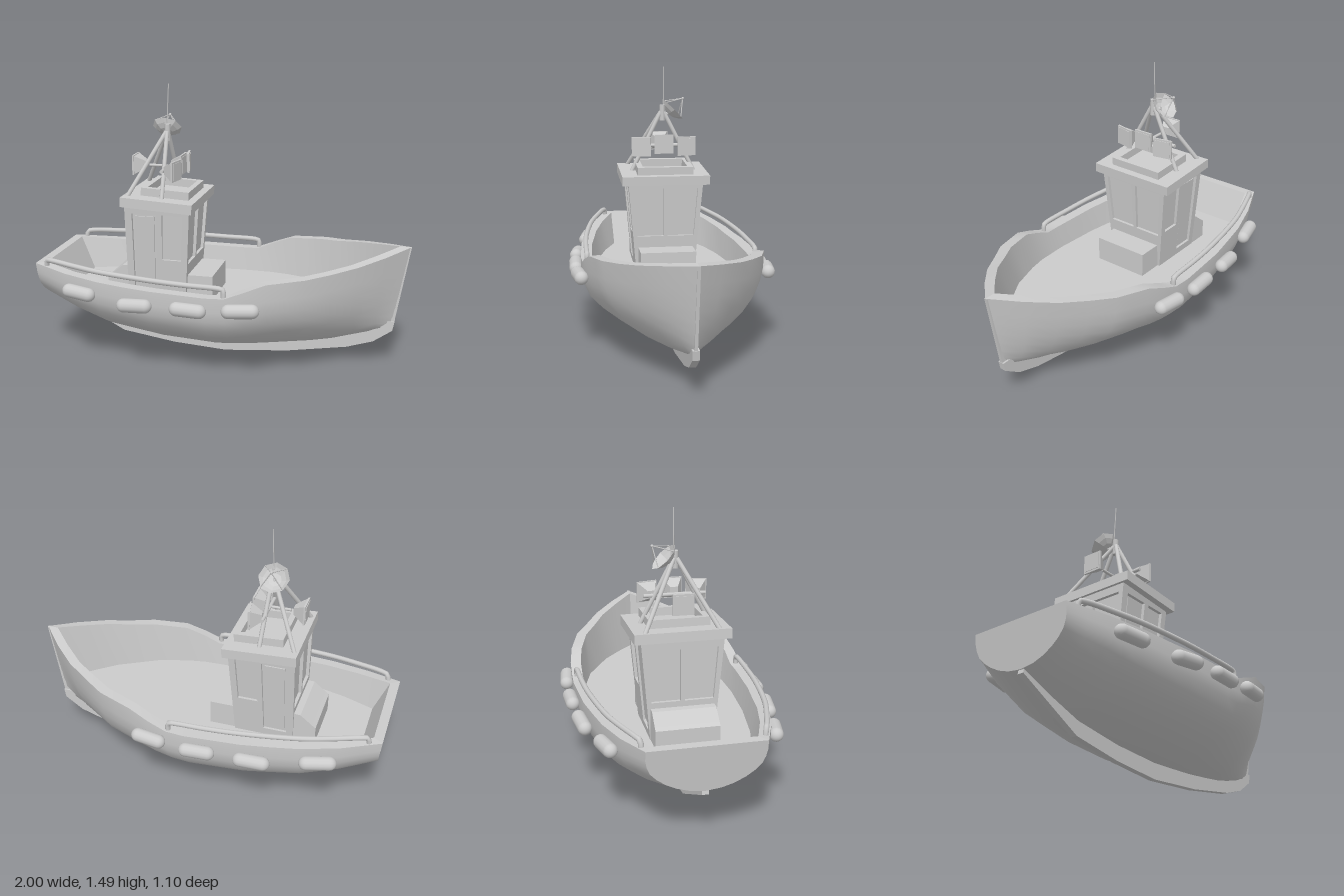
import * as THREE from 'three';

const V = (x, y, z) => new THREE.Vector3(x, y, z);
const mat = new THREE.MeshStandardMaterial({ color: 0xcccccc, side: THREE.DoubleSide });
const flat = new THREE.MeshStandardMaterial({ color: 0xcccccc, side: THREE.DoubleSide, flatShading: true });

// Linear lookup in a table of [key, value] pairs
function look(table, x) {
  let i = 1;
  while (i < table.length - 1 && x > table[i][0]) i++;
  const [a, b] = [table[i - 1], table[i]];
  return THREE.MathUtils.lerp(a[1], b[1], THREE.MathUtils.clamp((x - a[0]) / (b[0] - a[0]), 0, 1));
}

// Surface through rows of points
function loft(rows) {
  const n = rows[0].length, index = [];
  for (let i = 0; i < rows.length - 1; i++)
    for (let j = 0; j < n - 1; j++) {
      const a = i * n + j, b = a + n;
      index.push(a, b, a + 1, b, b + 1, a + 1);
    }
  const g = new THREE.BufferGeometry().setFromPoints(rows.flat());
  g.setIndex(index);
  g.computeVertexNormals();
  return g;
}

// Hull lines along the length, -1 stern to 1 bow
const stations = [-1, -0.9, -0.8, -0.7, -0.6, -0.45, -0.3, -0.15, 0, 0.1, 0.2, 0.31, 0.4, 0.5, 0.62, 0.75, 0.88, 1];
const sheer = [[-1, 0.525], [-0.8, 0.505], [-0.5, 0.485], [0, 0.473], [0.1, 0.475], [0.2, 0.515], [0.31, 0.558], [0.6, 0.59], [0.8, 0.625], [1, 0.67]];
const keelY = [[-1, 0.28], [-0.8, 0.205], [-0.6, 0.14], [-0.3, 0.1], [0, 0.085], [0.3, 0.1], [0.6, 0.13], [0.8, 0.17], [1, 0.22]];
const beam = [[-1, 0.29], [-0.8, 0.37], [-0.6, 0.425], [-0.3, 0.472], [0, 0.487], [0.25, 0.475], [0.5, 0.4], [0.75, 0.245], [0.88, 0.13], [1, 0]];
const inside = [[-1, 0.255], [-0.8, 0.325], [-0.6, 0.372], [-0.3, 0.412], [0, 0.428], [0.25, 0.42], [0.5, 0.35], [0.75, 0.215], [0.88, 0.11], [1, 0]];
const fullness = [[0, 0], [0.04, 0.27], [0.12, 0.48], [0.23, 0.66], [0.36, 0.81], [0.5, 0.92], [0.65, 0.975], [0.8, 1], [1, 1]];
const DECK = 0.34;

function hullPoint(u, t, side) {
  const rake = u > 0 ? 0.08 : 0.03;
  const f = THREE.MathUtils.lerp(look(fullness, t), Math.pow(t, 0.7), 0.6 * Math.max(0, u) ** 2);
  const y = THREE.MathUtils.lerp(look(keelY, u), look(sheer, u), t);
  return V(u * (1 - rake * (1 - t) * u * u), y, side * look(beam, u) * f);
}
const rimPoint = (u, side) => V(u * (u > 0 ? 0.94 : 0.95), look(sheer, u), side * look(inside, u));
const deckPoint = (u, side) => V(u * (u > 0 ? 0.89 : 0.87), DECK, side * look(inside, u) * 0.955);

export function createModel() {
  const model = new THREE.Group();
  const add = (name, geo, parent = model, m = mat) => {
    const mesh = new THREE.Mesh(geo, m);
    mesh.name = name;
    parent.add(mesh);
    return mesh;
  };
  const box = (name, x0, x1, y0, y1, w, parent, m) =>
    add(name, new THREE.BoxGeometry(x1 - x0, y1 - y0, w).translate((x0 + x1) / 2, (y0 + y1) / 2, 0), parent, m);
  const rod = (name, a, b, r, parent, sides = 8) => {
    const mesh = add(name, new THREE.CylinderGeometry(r, r, a.distanceTo(b), sides), parent);
    mesh.position.copy(a).lerp(b, 0.5);
    mesh.quaternion.setFromUnitVectors(V(0, 1, 0), b.clone().sub(a).normalize());
    return mesh;
  };
  const extrude = (points, depth, holes = []) => {
    const path = (p) => p.map(([x, y]) => new THREE.Vector2(x, y));
    const s = new THREE.Shape(path(points));
    s.holes = holes.map((h) => new THREE.Path(path(h)));
    return new THREE.ExtrudeGeometry(s, { depth, bevelEnabled: false }).translate(0, 0, -depth / 2);
  };
  const rect = (x0, x1, y0, y1) => [[x0, y0], [x1, y0], [x1, y1], [x0, y1]];

  // Hull: outer skin, rim, bulwarks, deck and transom
  const ts = fullness.map((p) => p[0]);
  const hull = new THREE.Group();
  hull.name = 'hull';
  model.add(hull);
  add('hullSkin', loft(stations.map((u) => [
    ...ts.slice(1).reverse().map((t) => hullPoint(u, t, -1)), ...ts.map((t) => hullPoint(u, t, 1))])), hull);
  const strip = (name, f) => add(name, loft(stations.map(f)), hull);
  strip('leftRim', (u) => [hullPoint(u, 1, 1), rimPoint(u, 1)]);
  strip('rightRim', (u) => [rimPoint(u, -1), hullPoint(u, 1, -1)]);
  strip('leftBulwark', (u) => [rimPoint(u, 1), deckPoint(u, 1)]);
  strip('rightBulwark', (u) => [deckPoint(u, -1), rimPoint(u, -1)]);
  strip('deck', (u) => [deckPoint(u, 1), deckPoint(u, -1)]);
  add('transom', loft([-1, 1].map((s) => ts.map((t) => hullPoint(-1, t, s)))), hull);
  const sternTop = [1, -1].map((s) => rimPoint(-1, s));
  add('sternRim', loft([[1, -1].map((s) => hullPoint(-1, 1, s)), sternTop]), hull);
  add('sternBulwark', loft([sternTop, [1, -1].map((s) => deckPoint(-1, s))]), hull);

  // Keel fin and stem
  add('keel', extrude([[-0.97, 0.26], [-0.6, 0.065], [-0.3, 0.02], [0, 0], [0.35, 0.03], [0.68, 0.085], [0.82, 0.13],
    [0.92, 0.2], [0.93, 0.25], [0.88, 0.25], [0.6, 0.16], [0, 0.11], [-0.6, 0.165], [-0.965, 0.29]], 0.035));
  add('stem', extrude([[0.92, 0.2], [1, 0.67], [0.975, 0.66], [0.89, 0.22]], 0.016));

  // Hand rails and fenders on both sides
  for (const s of [1, -1]) {
    const pts = [[-0.935, 0.5, 0.295], [-0.925, 0.548, 0.3], [-0.89, 0.553, 0.315], [-0.75, 0.547, 0.36], [-0.6, 0.54, 0.4],
      [-0.3, 0.53, 0.443], [-0.1, 0.524, 0.455], [0.06, 0.521, 0.458], [0.09, 0.515, 0.458], [0.095, 0.46, 0.458]];
    const curve = new THREE.CatmullRomCurve3(pts.map(([x, y, z]) => V(x, y, z * s)), false, 'centripetal');
    add('handRail', new THREE.TubeGeometry(curve, 60, 0.014, 8));
    for (const [x, y, z, yaw, roll] of [[-0.7, 0.425, 0.425, 0.22, -0.06], [-0.37, 0.405, 0.495, 0.13, 0.08],
      [-0.08, 0.412, 0.513, 0.02, -0.03], [0.19, 0.425, 0.503, -0.13, 0.04]]) {
      const fender = add('fender', new THREE.CapsuleGeometry(0.037, 0.12, 6, 14).rotateZ(Math.PI / 2));
      fender.position.set(x, y, z * s);
      fender.rotation.set(0, -yaw * s, roll);
    }
  }

  // Wheelhouse: walls with openings around a core, narrowing downwards
  const house = new THREE.Group();
  house.name = 'wheelhouse';
  model.add(house);
  const taper = (g) => {
    const p = g.attributes.position;
    for (let i = 0; i < p.count; i++) {
      const k = (p.getY(i) - DECK) / 0.52;
      p.setX(i, -0.51 + (p.getX(i) + 0.51) * (0.9 + 0.1 * k));
      p.setZ(i, p.getZ(i) * (0.79 + 0.21 * k));
    }
    g.computeVertexNormals();
    return g;
  };
  const [hx0, hx1, hw, top] = [-0.51, -0.15, 0.212, 0.86];
  taper(box('cabinCore', hx0 + 0.018, hx1 - 0.018, DECK, top, 2 * hw - 0.036, house).geometry);
  const sideHoles = [rect(-0.47, -0.33, 0.38, 0.815), rect(-0.3, -0.185, 0.56, 0.815)];
  for (const s of [1, -1])
    add('sideWall', taper(extrude(rect(hx0, hx1, DECK, top), 0.02, sideHoles).translate(0, 0, s * (hw - 0.01))), house);
  for (const [x, sill] of [[hx1 - 0.01, 0.54], [hx0 + 0.01, 0.54]]) {
    const holes = [rect(-0.185, -0.012, sill, 0.815), rect(0.012, 0.185, sill, 0.815)];
    add('endWall', taper(extrude(rect(-hw, hw, DECK, top), 0.02, holes).rotateY(Math.PI / 2).translate(x, 0, 0)), house);
  }
  for (const s of [1, -1]) { // door leaves
    const leaf = box('door', -0.455, -0.345, 0.4, 0.8, 0.012, house);
    taper(leaf.geometry.translate(0, 0, s * (hw - 0.016)));
  }

  // Roof slab with a raised, open frame
  const roof = new THREE.Group();
  roof.name = 'roof';
  roof.position.set(-0.325, 0.875, 0);
  roof.rotation.z = -0.055;
  house.add(roof);
  box('roofSlab', -0.197, 0.197, -0.028, 0.024, 0.492, roof);
  add('roofFrame', extrude(rect(-0.11, 0.155, -0.157, 0.157), 0.045, [rect(-0.08, 0.125, -0.125, 0.125)])
    .rotateX(-Math.PI / 2).translate(0, 0.045, 0), roof);

  // Deck boxes before and behind the wheelhouse
  box('foreLocker', -0.2, -0.04, DECK, 0.475, 0.31);
  add('aftLocker', extrude([[-0.63, DECK], [-0.5, DECK], [-0.5, 0.51], [-0.545, 0.507], [-0.61, 0.455], [-0.63, 0.44]], 0.33));

  // Mast: four legs, post, light bar and whip aerial
  const mast = new THREE.Group();
  mast.name = 'mast';
  model.add(mast);
  for (const s of [1, -1]) {
    rod('aftLeg', V(-0.5, 0.9, 0.19 * s), V(-0.33, 1.23, 0.008 * s), 0.012, mast);
    rod('foreLeg', V(-0.31, 0.89, 0.18 * s), V(-0.325, 1.23, 0.008 * s), 0.012, mast);
  }
  rod('post', V(-0.325, 1.18, 0), V(-0.325, 1.27, 0), 0.016, mast);
  rod('lightBar', V(-0.315, 1.04, -0.16), V(-0.315, 1.04, 0.16), 0.01, mast);
  rod('aftLightArm', V(-0.43, 1.04, 0), V(-0.315, 1.04, 0), 0.008, mast);
  rod('aerial', V(-0.33, 1.26, -0.008), V(-0.318, 1.485, -0.008), 0.003, mast, 5);

  // Flared square flood lights, three forward and one aft
  for (const [x, y, z, yaw] of [[-0.273, 1.055, 0, 0], [-0.275, 1.042, 0.122, -0.2], [-0.275, 1.042, -0.122, 0.2], [-0.475, 1.045, 0, Math.PI]]) {
    const light = new THREE.Group();
    light.name = 'floodLight';
    light.position.set(x, y, z);
    light.rotation.y = yaw;
    mast.add(light);
    const shade = (r0, r1, h) => new THREE.CylinderGeometry(r0, r1, h, 4).rotateY(Math.PI / 4).rotateZ(-Math.PI / 2);
    add('lightShade', shade(0.072, 0.028, 0.06), light, flat);
    add('lightLip', shade(0.076, 0.076, 0.01).translate(0.033, 0, 0), light, flat);
    add('lightGlass', shade(0.062, 0.062, 0.004).translate(0.039, 0, 0), light, flat);
  }

  // Dish aerial facing up and to the right side, with feed struts
  const dish = new THREE.Group();
  dish.name = 'dish';
  dish.position.set(-0.345, 1.232, -0.05);
  dish.quaternion.setFromUnitVectors(V(0, 1, 0), V(0, 0.7, -0.7).normalize());
  mast.add(dish);
  const bowl = [[0, -0.022], [0.035, -0.015], [0.062, 0], [0.082, 0.018]].map(([r, y]) => new THREE.Vector2(r, y));
  add('dishBowl', new THREE.LatheGeometry(bowl, 8), dish, flat);
  for (let i = 0; i < 4; i++) {
    const a = Math.PI / 4 + i * Math.PI / 2;
    rod('feedStrut', V(0.08 * Math.cos(a), 0.018, 0.08 * Math.sin(a)), V(0, 0.1, 0), 0.003, dish, 5);
  }
  add('feed', new THREE.SphereGeometry(0.008, 8, 6).translate(0, 0.1, 0), dish);
  rod('dishArm', V(-0.325, 1.21, 0), V(-0.345, 1.22, -0.04), 0.01, mast);

  return model;
}
